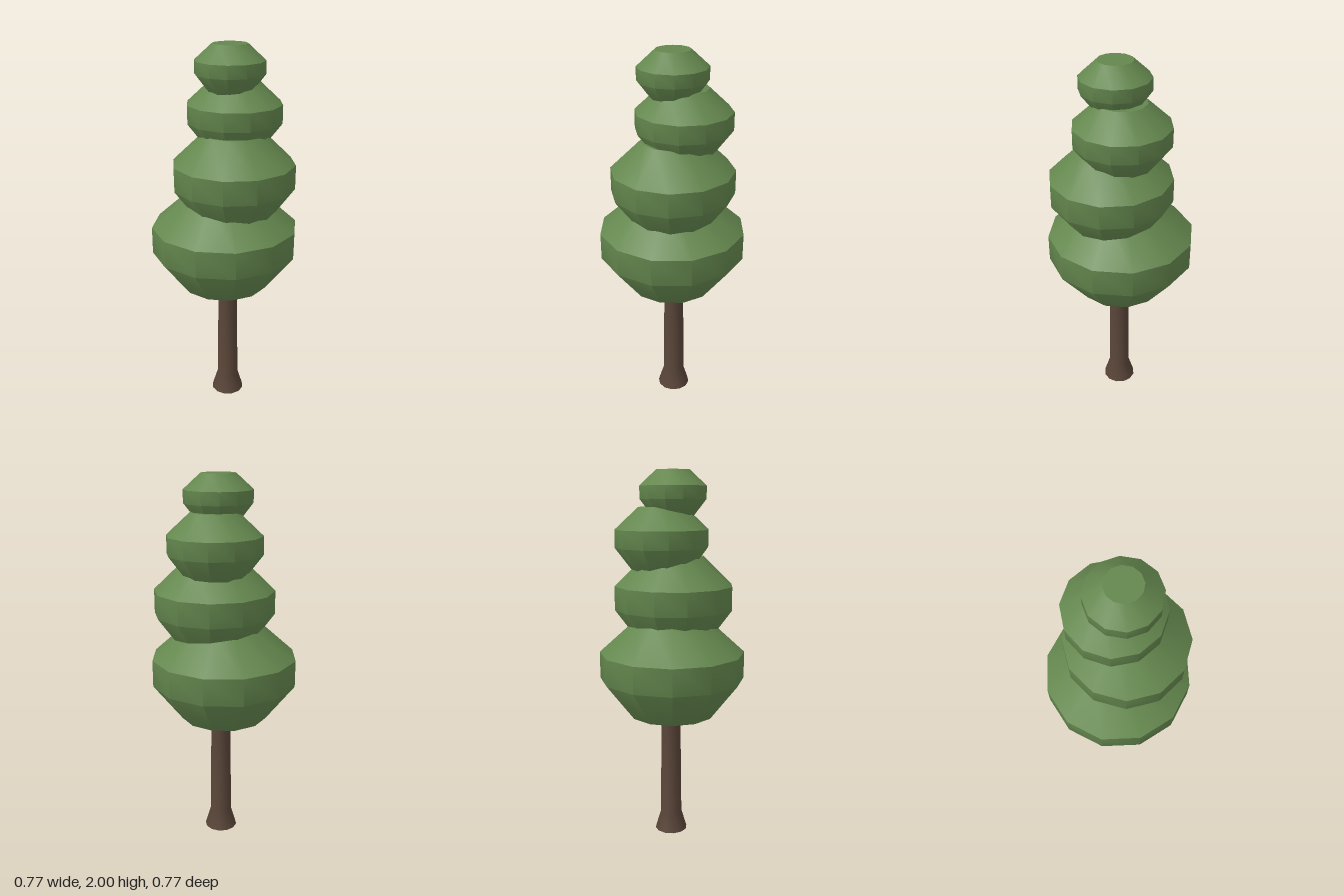
import * as THREE from 'three';
import { toCreasedNormals } from 'three/addons/utils/BufferGeometryUtils.js';

const foliageGreen = new THREE.MeshStandardMaterial({ color: 0x64874e });
const barkBrown = new THREE.MeshStandardMaterial({ color: 0x584438, side: THREE.DoubleSide });

// Twelve-sided turned shape from [radius, height] pairs, listed bottom to top
function turned(name, profile, material) {
  const points = profile.map(([r, y]) => new THREE.Vector2(r, y));
  const geometry = toCreasedNormals(new THREE.LatheGeometry(points, 12), 0.7);
  const mesh = new THREE.Mesh(geometry, material);
  mesh.name = name;
  return mesh;
}

// Foliage tier: tapered underside, upright band, sloped shoulder, flat caps
function foliageTier(name, { x, z, r, y, h, turn }) {
  const mesh = turned(name, [
    [0, 0], [r * 0.6, 0], [r, h * 0.385], [r, h * 0.662], [r * 0.5, h], [0, h],
  ], foliageGreen);
  mesh.position.set(x, y, z);
  mesh.rotation.y = THREE.MathUtils.degToRad(turn);
  return mesh;
}

export function createModel() {
  const tree = new THREE.Group();
  tree.name = 'tree';

  // Open-ended trunk with a flared foot
  const trunk = turned('trunk', [[0.09, 0], [0.06, 0.1], [0.052, 0.75]], barkBrown);
  trunk.position.set(0.017, 0, 0.007);
  tree.add(trunk);

  // Stacked, slightly offset tiers, shrinking upward
  const tiers = [
    { x: 0, z: 0, r: 0.392, y: 0.7, h: 0.522, turn: -8.8 },
    { x: 0.037, z: 0.043, r: 0.322, y: 1.1, h: 0.456, turn: 3 },
    { x: 0.06, z: -0.02, r: 0.25, y: 1.472, h: 0.34, turn: 0 },
    { x: 0.022, z: 0.022, r: 0.179, y: 1.761, h: 0.239, turn: 8.7 },
  ];
  tiers.forEach((tier, i) => tree.add(foliageTier(`foliageTier${i + 1}`, tier)));

  return tree;
}
